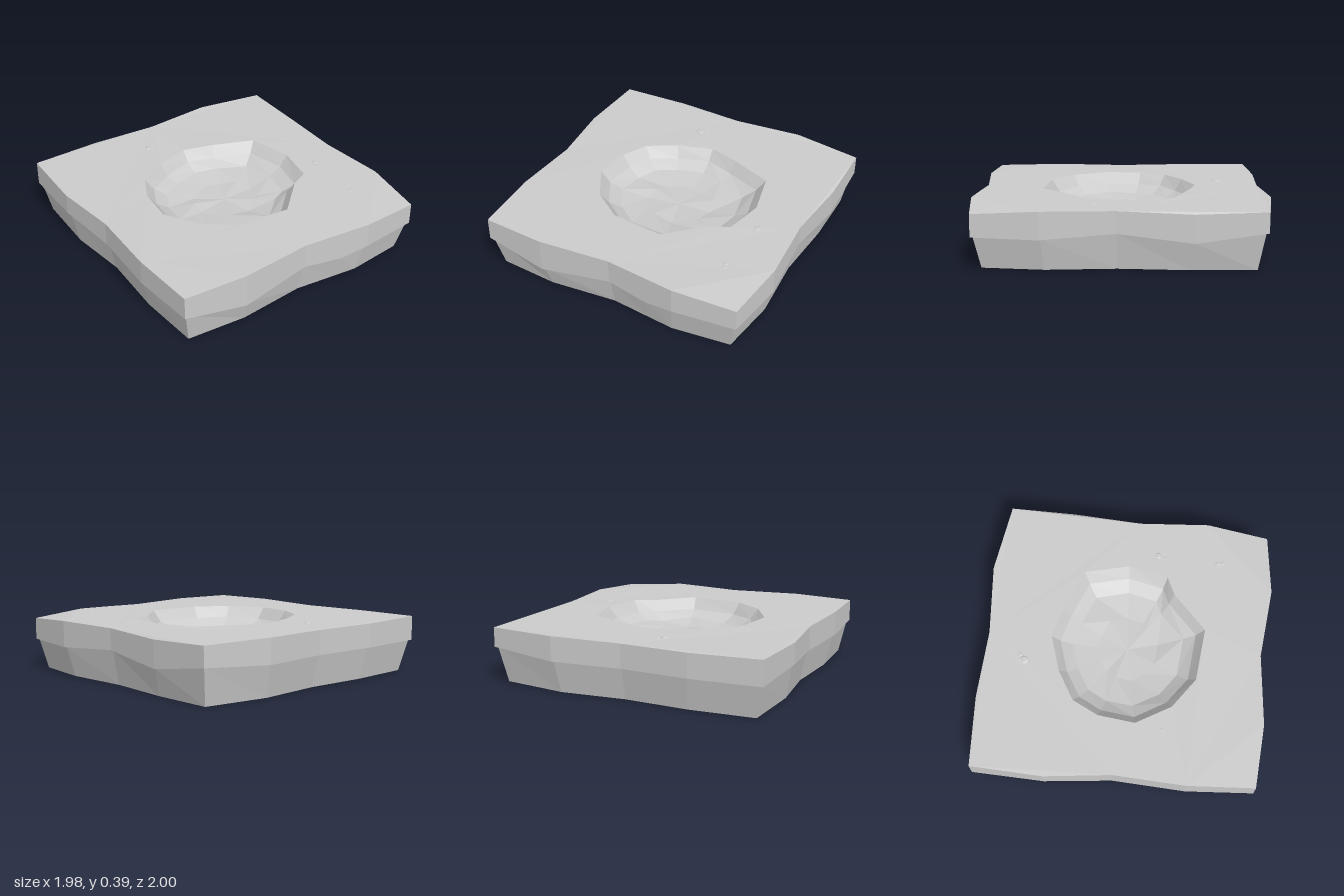
import * as THREE from 'three';

const material = new THREE.MeshStandardMaterial({ color: 0xcccccc, flatShading: true, side: THREE.DoubleSide });

// Outline of the tile, clockwise from above: x, z, top height, seam height
const outline = [
  [-0.97, -0.96, 0.39, 0.22], [-0.48, -0.985, 0.385, 0.22], [0, -0.96, 0.385, 0.22], [0.49, -1, 0.39, 0.22],
  [0.98, -0.93, 0.385, 0.25], [0.985, -0.47, 0.37, 0.185], [0.95, 0.02, 0.385, 0.24], [0.985, 0.51, 0.387, 0.205],
  [0.93, 0.945, 0.36, 0.21], [0.5, 0.995, 0.388, 0.213], [0.3, 0.975, 0.388, 0.185], [0.01, 0.945, 0.386, 0.215],
  [-0.49, 0.995, 0.39, 0.155], [-0.93, 0.965, 0.385, 0.23], [-0.96, 0.5, 0.39, 0.22], [-0.935, 0, 0.385, 0.22],
  [-0.99, -0.46, 0.385, 0.24],
];

// Crater rim, clockwise from above: x, z
const rim = [
  [0.01, -0.52], [0.23, -0.46], [0.525, -0.345], [0.6, -0.03], [0.54, 0.25], [0.41, 0.31], [0.165, 0.545],
  [-0.21, 0.51], [-0.42, 0.36], [-0.56, 0.12], [-0.53, -0.14], [-0.44, -0.32], [-0.24, -0.44],
];

function build(name, points, index) {
  const geometry = new THREE.BufferGeometry().setFromPoints(points);
  geometry.setIndex(index);
  geometry.computeVertexNormals();
  const mesh = new THREE.Mesh(geometry, material);
  mesh.name = name;
  return mesh;
}

// Skin a sequence of closed rings that share a point count
function loft(name, rings) {
  const n = rings[0].length;
  const index = [];
  for (let r = 0; r < rings.length - 1; r++) {
    for (let i = 0; i < n; i++) {
      const a = r * n + i, b = r * n + (i + 1) % n;
      index.push(a, b, a + n, b, b + n, a + n);
    }
  }
  return build(name, rings.flat(), index);
}

const outerRing = (scale, height) =>
  outline.map((p) => new THREE.Vector3(p[0] * scale, height(p), p[1] * scale));

// Rings shrink toward the crater centre, with a small uneven wobble
const craterRing = (scale, y, wobble = 0) => rim.map(([x, z], i) => new THREE.Vector3(
  0.02 + (x - 0.02) * scale,
  y + wobble * Math.sin(i * 2.3 + scale * 9),
  0.01 + (z - 0.01) * scale));

export function createModel() {
  const group = new THREE.Group();
  group.name = 'craterTile';

  // Upper skirt with its narrow ledge, and the tapering base wall, open below
  const top = outerRing(1, (p) => p[2]);
  const seam = outerRing(1, (p) => p[3]);
  const innerSeam = outerRing(0.983, (p) => p[3]);
  group.add(loft('upperSkirt', [top, seam, innerSeam]));
  group.add(loft('baseWall', [innerSeam, outerRing(0.935, () => 0)]));

  // Ground sheet with the crater opening
  const edge = craterRing(1, 0.388);
  const flat = (v) => new THREE.Vector2(v.x, -v.z);
  const faces = THREE.ShapeUtils.triangulateShape(top.map(flat), [edge.map(flat)]);
  group.add(build('ground', [...top, ...edge], faces.flat()));

  // Crater bowl, from the centre of the floor out to the rim
  group.add(loft('craterBowl', [
    craterRing(0, 0.235),
    craterRing(0.4, 0.24, 0.008),
    craterRing(0.73, 0.26, 0.008),
    craterRing(0.89, 0.31, 0.005),
    edge,
  ]));

  // Small pebbles barely breaking the ground: x, z, radius
  const pebbles = [
    [-0.18, -0.69, 0.036], [-0.145, -0.72, 0.02], [0.705, 0.17, 0.03], [0.69, 0.22, 0.014],
    [-0.59, 0.31, 0.024], [-0.61, 0.35, 0.018], [0.68, 0.6, 0.024], [0.69, 0.635, 0.022],
  ];
  pebbles.forEach(([x, z, r], i) => {
    const pebble = new THREE.Mesh(new THREE.IcosahedronGeometry(r, 0), material);
    pebble.name = 'pebble';
    pebble.position.set(x, 0.384, z);
    pebble.scale.y = 0.3;
    pebble.rotation.y = i * 1.3;
    group.add(pebble);
  });
  return group;
}
